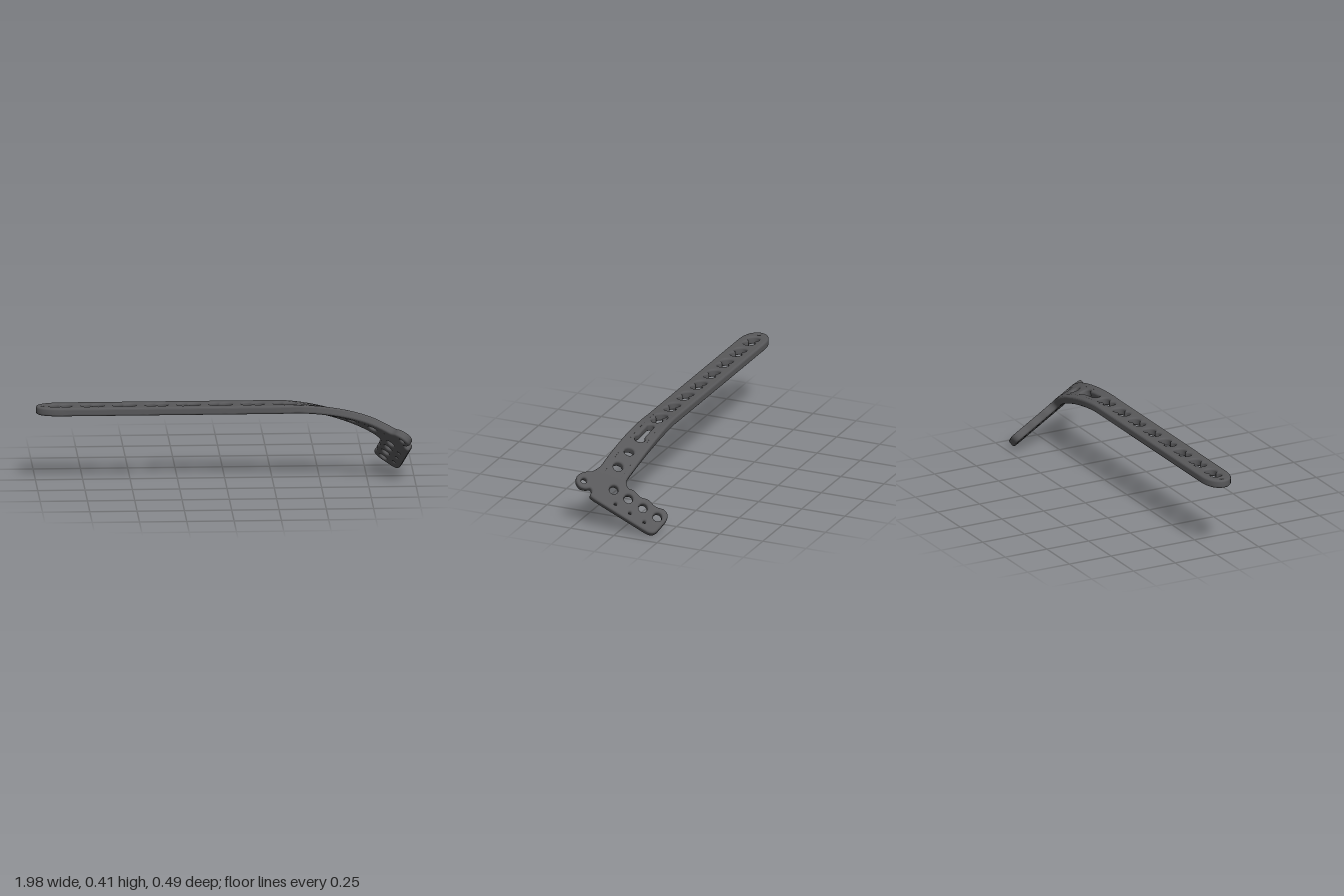
import * as THREE from 'three';
import { mergeVertices } from 'three/addons/utils/BufferGeometryUtils.js';

const THICK = 0.044, BEVEL = 0.011, HALF = 0.078;
const V = (x, y, z) => new THREE.Vector3(x, y, z);
const pts = (list) => list.map(([x, y]) => new THREE.Vector2(x, y));

// Flat outline: u runs along the shaft, v runs back along the head
function plateOutline() {
  const s = new THREE.Shape();
  s.moveTo(-0.87, -HALF);
  s.lineTo(0.85, -HALF);
  // Front lug and the small notch behind it
  s.splineThru(pts([
    [0.9, -0.1], [0.93, -0.135], [0.967, -0.152], [1.0, -0.14], [1.016, -0.108],
    [1.008, -0.078], [0.992, -0.058], [1.002, -0.042], [1.027, -0.035], [1.032, 0],
  ]));
  // Head
  s.lineTo(1.03, 0.31);
  s.quadraticCurveTo(1.03, 0.362, 0.985, 0.365);
  s.lineTo(0.925, 0.372);
  s.quadraticCurveTo(0.868, 0.374, 0.867, 0.325);
  s.splineThru(pts([[0.878, 0.28], [0.867, 0.233], [0.878, 0.188], [0.867, 0.144], [0.872, 0.115]]));
  s.quadraticCurveTo(0.868, HALF, 0.82, HALF);
  // Shaft and rounded tip
  s.lineTo(-0.87, HALF);
  s.bezierCurveTo(-0.95, HALF, -1, 0.045, -1, 0);
  s.bezierCurveTo(-1, -0.045, -0.95, -HALF, -0.87, -HALF);

  const round = (u, v, r) => s.holes.push(new THREE.Path().absarc(u, v, r, 0, Math.PI * 2));
  // Paired holes along the shaft
  for (let i = 0; i < 8; i++) {
    const u = -0.87 + i * 0.1693, a = 0.61;
    const pair = new THREE.Path();
    pair.absarc(u - 0.029, 0, 0.031, a, Math.PI * 2 - a);
    pair.absarc(u + 0.029, 0, 0.031, a - Math.PI, Math.PI - a);
    s.holes.push(pair);
  }
  // Keyhole slot
  const slot = new THREE.Path();
  slot.absarc(0.425, 0, 0.018, Math.PI / 2, Math.PI * 1.5);
  slot.absarc(0.555, 0, 0.029, -2.5, 2.5);
  s.holes.push(slot);
  // Tip, neck, lug and head holes
  round(-0.965, 0, 0.006);
  round(0.68, 0, 0.026);
  round(0.8, 0, 0.026);
  round(0.973, -0.108, 0.015);
  for (let i = 0; i < 4; i++) round(0.925, 0.05 + i * 0.091, 0.024);
  for (let i = 0; i < 3; i++) round(0.99, 0.1 + i * 0.09, 0.007);
  return s;
}

// Split long edges so that the flat plate can bend smoothly
function subdivide(geometry, maxEdge) {
  const p = geometry.toNonIndexed ? (geometry.index ? geometry.toNonIndexed() : geometry).attributes.position : null;
  const out = [];
  const split = (a, b, c) => {
    const ab = a.distanceTo(b), bc = b.distanceTo(c), ca = c.distanceTo(a);
    const longest = Math.max(ab, bc, ca);
    if (longest <= maxEdge) {
      for (const q of [a, b, c]) out.push(q.x, q.y, q.z);
    } else if (longest === ab) {
      const m = a.clone().add(b).multiplyScalar(0.5);
      split(a, m, c); split(m, b, c);
    } else if (longest === bc) {
      const m = b.clone().add(c).multiplyScalar(0.5);
      split(a, b, m); split(a, m, c);
    } else {
      const m = c.clone().add(a).multiplyScalar(0.5);
      split(a, b, m); split(m, b, c);
    }
  };
  for (let i = 0; i < p.count; i += 3) {
    split(...[0, 1, 2].map((k) => new THREE.Vector3().fromBufferAttribute(p, i + k)));
  }
  const g = new THREE.BufferGeometry();
  g.setAttribute('position', new THREE.Float32BufferAttribute(out, 3));
  return g;
}

// Bend the neck down along a curve while twisting it into the head
function bend(geometry) {
  const start = 0.3;
  const curve = new THREE.CubicBezierCurve3(
    V(start, 0.408, 0.047), V(0.47, 0.408, 0.047), V(0.72, 0.36, 0.056), V(0.845, 0.2725, 0.088));
  const length = curve.getLength();
  const p = geometry.attributes.position;
  for (let i = 0; i < p.count; i++) {
    const u = p.getX(i), v = p.getY(i), n = p.getZ(i);
    const t = THREE.MathUtils.clamp((u - start) / length, 0, 1);
    const tangent = curve.getTangentAt(t);
    const side = V(0, 0, 1).lerp(V(0.05, 0.5, 0.87), t);
    side.addScaledVector(tangent, -side.dot(tangent)).normalize();
    const normal = side.clone().cross(tangent);
    const q = curve.getPointAt(t)
      .addScaledVector(tangent, u - start - t * length)
      .addScaledVector(side, -v)
      .addScaledVector(normal, n);
    p.setXYZ(i, q.x, q.y, q.z);
  }
  return geometry;
}

export function createModel() {
  const group = new THREE.Group();
  group.name = 'angledPlate';
  const metal = new THREE.MeshStandardMaterial({ color: 0x58585a });
  metal.name = 'dark grey metal';

  const flat = new THREE.ExtrudeGeometry(plateOutline(), {
    depth: THICK - 2 * BEVEL, curveSegments: 8, bevelEnabled: true,
    bevelThickness: BEVEL, bevelSize: BEVEL, bevelOffset: -BEVEL, bevelSegments: 3,
  });
  flat.translate(0, 0, BEVEL - THICK / 2);
  const geometry = mergeVertices(bend(subdivide(flat, 0.035)), 1e-5);
  geometry.computeVertexNormals();
  geometry.computeBoundingBox();
  geometry.translate(0, -geometry.boundingBox.min.y, 0);

  const plate = new THREE.Mesh(geometry, metal);
  plate.name = 'perforatedPlate';
  group.add(plate);
  return group;
}
